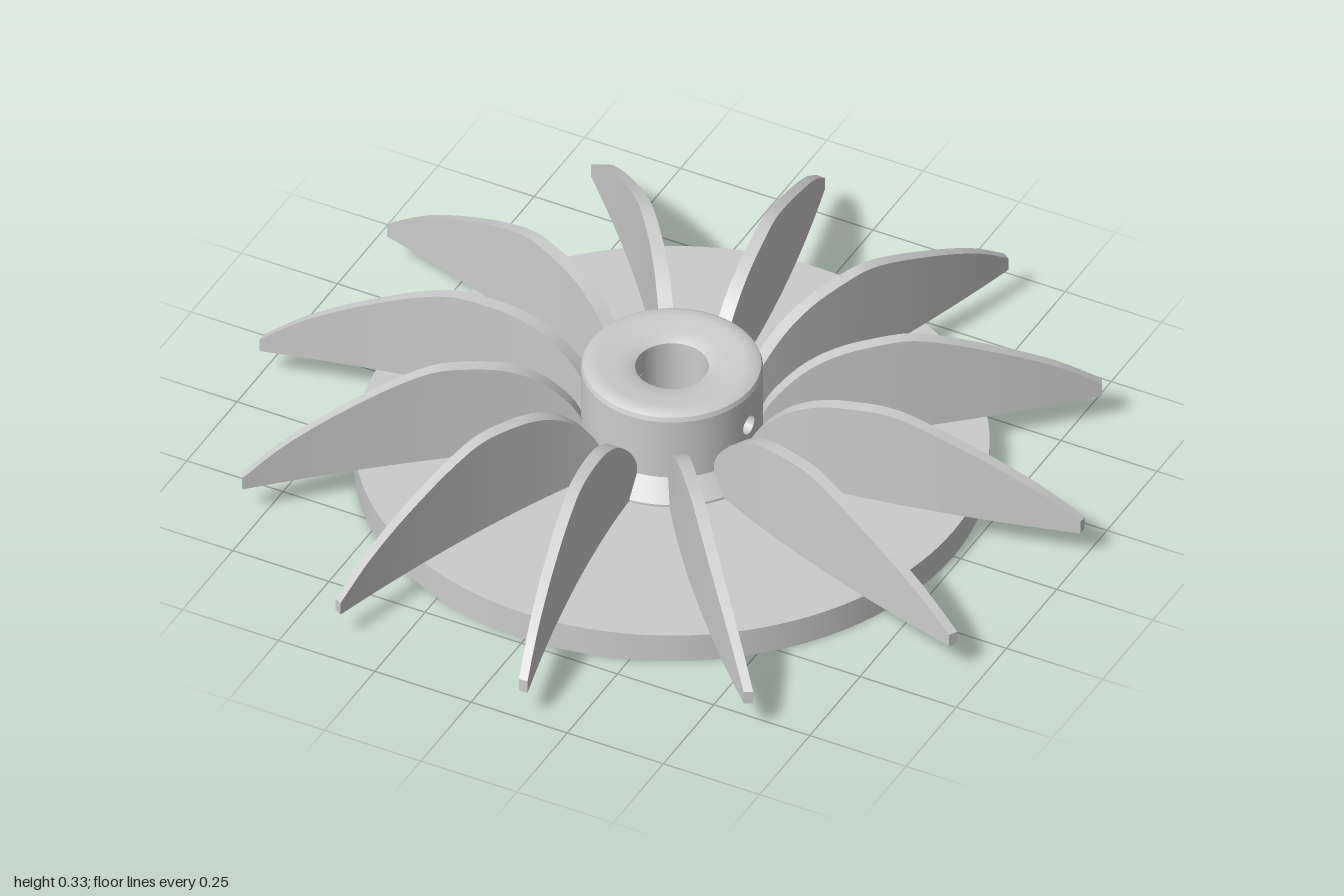
import * as THREE from 'three';
import { toCreasedNormals } from 'three/addons/utils/BufferGeometryUtils.js';

const BLADES = 12;
const HUB_R = 0.21;
const grey = new THREE.MeshStandardMaterial({ color: 0xcccccc });
const greyDouble = new THREE.MeshStandardMaterial({ color: 0xcccccc, side: THREE.DoubleSide });

const vec = ([x, y]) => new THREE.Vector2(x, y);

function addMesh(parent, name, geometry, material = grey) {
  const mesh = new THREE.Mesh(geometry, material);
  mesh.name = name;
  parent.add(mesh);
  return mesh;
}

const lathe = (points) => toCreasedNormals(new THREE.LatheGeometry(points.map(vec), 72), 0.6);

// A box bent into a thin swept blade: upper edge follows a spline, thinner at the tip
function bladeGeometry() {
  const edge = new THREE.SplineCurve([
    [0.195, 0.1], [0.215, 0.17], [0.255, 0.225], [0.31, 0.275], [0.38, 0.31], [0.46, 0.326], [0.55, 0.33],
    [0.64, 0.305], [0.73, 0.268], [0.82, 0.226], [0.91, 0.175], [0.997, 0.11],
  ].map(vec));
  const geometry = new THREE.BoxGeometry(1, 1, 1, 36, 1, 1);
  const p = geometry.attributes.position;
  for (let i = 0; i < p.count; i++) {
    const top = edge.getPoint(p.getX(i) + 0.5);
    const t = Math.max(0, (top.x - 0.2) / 0.8);
    const thickness = THREE.MathUtils.lerp(0.036, 0.022, t);
    const y = THREE.MathUtils.lerp(0.077, top.y, p.getY(i) + 0.5);
    p.setXYZ(i, top.x, y, -0.135 * Math.pow(t, 1.6) + p.getZ(i) * thickness);
  }
  geometry.computeVertexNormals();
  return geometry;
}

// Curved piece of the hub wall pierced by a round hole
function piercedPanel(half, y0, y1, holeY, holeR) {
  const steps = 4;
  const points = [];
  for (let i = 0; i <= steps; i++) points.push(vec([-half + (2 * half * i) / steps, y0]));
  for (let i = steps; i >= 0; i--) points.push(vec([-half + (2 * half * i) / steps, y1]));
  const shape = new THREE.Shape(points);
  const hole = new THREE.Path();
  hole.absellipse(0, holeY, holeR / HUB_R, holeR, 0, Math.PI * 2, true);
  shape.holes.push(hole);
  const geometry = new THREE.ShapeGeometry(shape, 10);
  const p = geometry.attributes.position;
  const n = geometry.attributes.normal;
  for (let i = 0; i < p.count; i++) {
    const a = p.getX(i);
    p.setXYZ(i, HUB_R * Math.sin(a), p.getY(i), HUB_R * Math.cos(a));
    n.setXYZ(i, Math.sin(a), 0, Math.cos(a));
  }
  return geometry;
}

function createHub() {
  const hub = new THREE.Group();
  hub.name = 'hub';
  // Sloping collar at the foot
  addMesh(hub, 'hubCollar', lathe([[0.25, 0.07], [0.25, 0.08], [HUB_R, 0.13]]));
  // Rounded rim, shallow dished top and blind bore with a small centre hole
  addMesh(hub, 'hubTopAndBore', lathe([
    [HUB_R, 0.29], [0.206, 0.301], [0.192, 0.309], [0.17, 0.309], [0.13, 0.304], [0.1, 0.3],
    [0.085, 0.292], [0.085, 0.1], [0.015, 0.1], [0.015, 0.076], [0, 0.076],
  ]));
  // Wall halves, each with a set-screw hole
  const half = 0.25, y0 = 0.07, y1 = 0.29, holeY = 0.207, holeR = 0.024;
  for (const angle of [Math.PI / 2 - 0.08, Math.PI * 1.5 - 0.08]) {
    const wall = new THREE.CylinderGeometry(HUB_R, HUB_R, y1 - y0, 32, 1, true, angle + half, Math.PI - 2 * half);
    wall.translate(0, (y0 + y1) / 2, 0);
    addMesh(hub, 'hubWall', wall);

    addMesh(hub, 'screwHolePanel', piercedPanel(half, y0, y1, holeY, holeR)).rotation.y = angle;

    const bore = new THREE.CylinderGeometry(holeR, holeR, 0.125, 24, 1, true);
    bore.rotateX(Math.PI / 2).translate(0, holeY, 0.1465);
    addMesh(hub, 'screwHoleBore', bore, greyDouble).rotation.y = angle;
  }
  return hub;
}

export function createModel() {
  const model = new THREE.Group();
  model.name = 'fanImpeller';

  // Base disc
  const disc = new THREE.CylinderGeometry(0.732, 0.732, 0.074, 96);
  disc.translate(0, 0.037, 0);
  addMesh(model, 'baseDisc', disc);

  model.add(createHub());

  // Ring of swept blades
  const blades = new THREE.Group();
  blades.name = 'blades';
  const geometry = bladeGeometry();
  for (let i = 0; i < BLADES; i++) {
    addMesh(blades, 'blade', geometry).rotation.y = (i * Math.PI * 2) / BLADES;
  }
  model.add(blades);
  return model;
}
